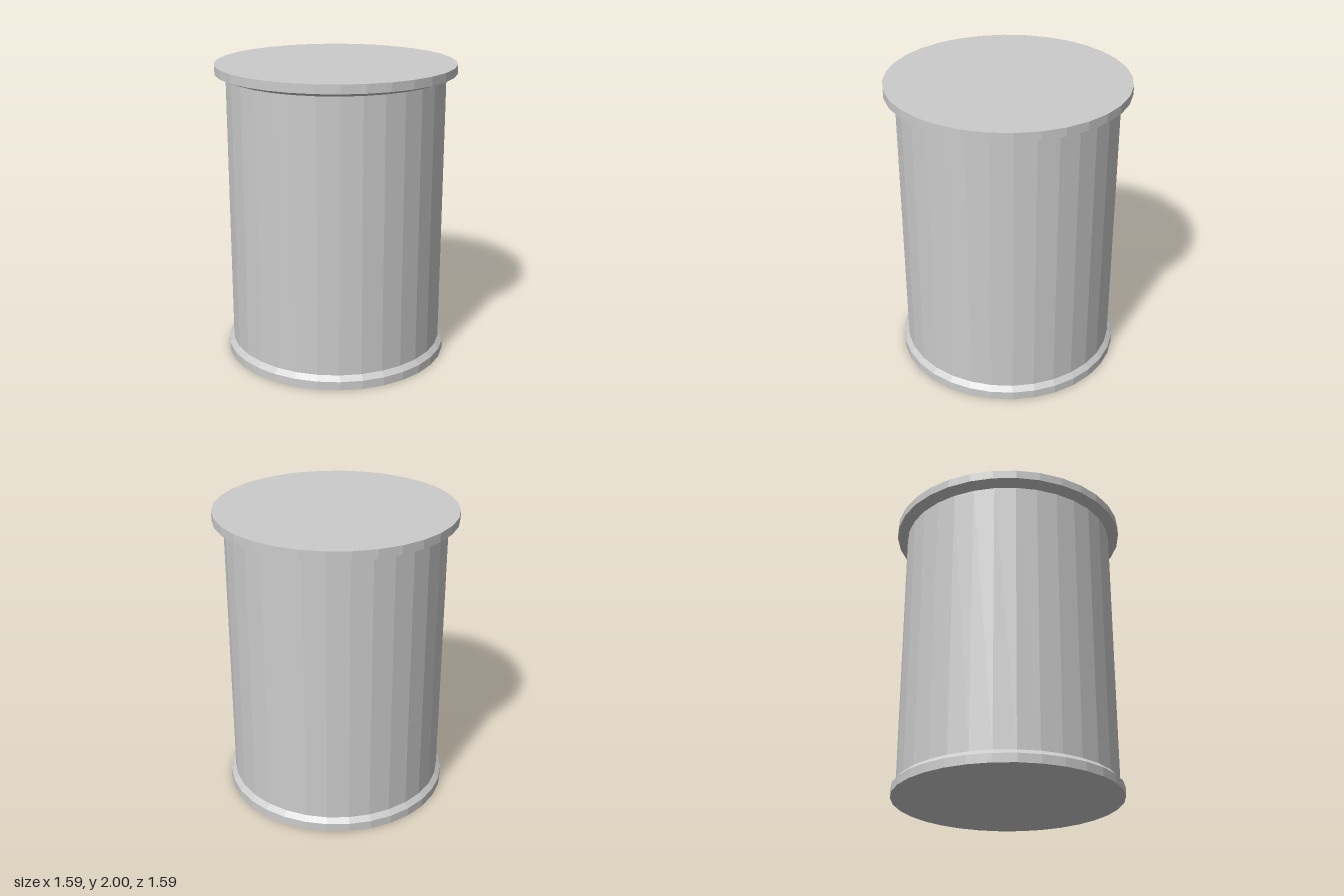
import * as THREE from 'three';

const SIDES = 32;
const BODY_R = 0.725, BASE_R = 0.757, LID_R = 0.797;

export function createModel() {
  const group = new THREE.Group();
  group.name = 'canister';
  const material = new THREE.MeshStandardMaterial({ color: 0xcccccc, flatShading: true });

  // Turns a [radius, height] profile, listed from bottom to top, into a faceted part
  const turned = (name, profile) => {
    const points = profile.map(([r, y]) => new THREE.Vector2(r, y));
    const mesh = new THREE.Mesh(new THREE.LatheGeometry(points, SIDES), material);
    mesh.name = name;
    group.add(mesh);
  };

  // Foot ring with closed underside and sloped shoulder
  turned('base', [[0, 0], [BASE_R, 0], [BASE_R, 0.058], [BODY_R, 0.09]]);
  // Straight wall
  turned('body', [[BODY_R, 0.09], [BODY_R, 1.915]]);
  // Flat lid with bevelled underside
  turned('lid', [[BODY_R, 1.915], [LID_R, 1.942], [LID_R, 2], [0, 2]]);

  return group;
}
